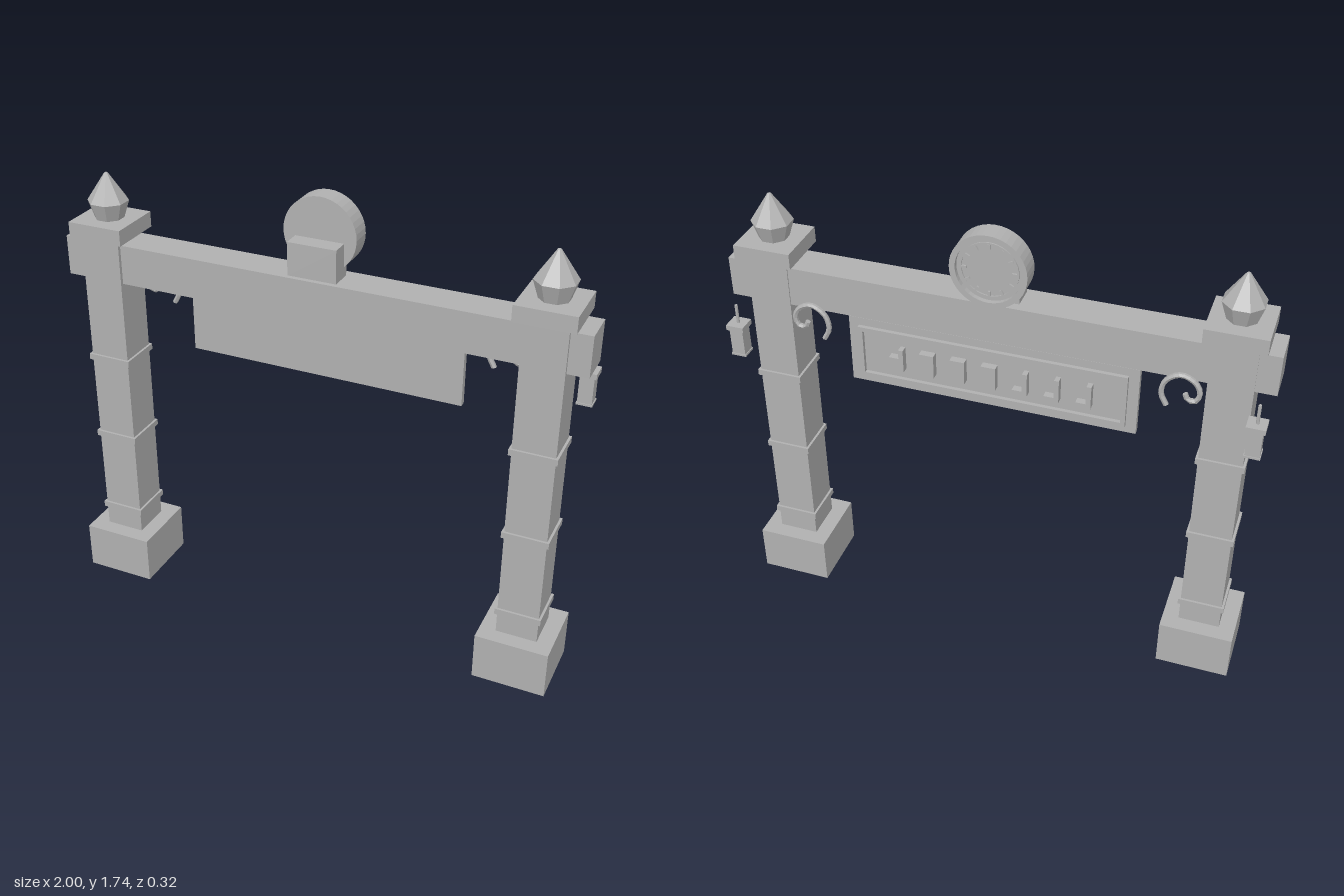
import * as THREE from 'three';

const stone = new THREE.MeshStandardMaterial({ color: 0xb0b0b0, flatShading: true });
stone.name = 'stone grey';

function add(parent, name, geometry, x = 0, y = 0, z = 0) {
  const mesh = new THREE.Mesh(geometry, stone);
  mesh.name = name;
  mesh.position.set(x, y, z);
  parent.add(mesh);
  return mesh;
}

// Box given by its minimum and maximum on each axis
function box(parent, name, x0, x1, y0, y1, z0, z1) {
  return add(parent, name, new THREE.BoxGeometry(x1 - x0, y1 - y0, z1 - z0),
    (x0 + x1) / 2, (y0 + y1) / 2, (z0 + z1) / 2);
}

// Square block centred on the local axis
function block(parent, name, width, y0, y1) {
  return box(parent, name, -width / 2, width / 2, y0, y1, -width / 2, width / 2);
}

// Flat ring facing z, made from an outline and a hole
function frame(outer, hole, depth) {
  outer.holes.push(hole);
  return new THREE.ExtrudeGeometry(outer, { depth, bevelEnabled: false, curveSegments: 20 });
}

function rectangle(path, w, h) {
  path.moveTo(-w / 2, -h / 2);
  path.lineTo(w / 2, -h / 2);
  path.lineTo(w / 2, h / 2);
  path.lineTo(-w / 2, h / 2);
  path.closePath();
  return path;
}

function createPillar() {
  const pillar = new THREE.Group();
  block(pillar, 'base', 0.28, 0, 0.19);
  block(pillar, 'shaft', 0.157, 0.19, 1.475);
  for (const y of [0.285, 0.628, 0.973]) block(pillar, 'band', 0.175, y - 0.012, y + 0.012);
  block(pillar, 'cap', 0.217, 1.472, 1.532);
  // Eight-sided pointed finial
  const profile = [[0, 0], [0.055, 0], [0.077, 0.066], [0.007, 0.17], [0, 0.173]]
    .map(([r, y]) => new THREE.Vector2(r, y));
  add(pillar, 'finial', new THREE.LatheGeometry(profile, 8, Math.PI / 8), 0, 1.532, 0);
  return pillar;
}

function createLantern() {
  const lantern = new THREE.Group();
  block(lantern, 'lanternBody', 0.052, 1.105, 1.21);
  block(lantern, 'lanternFoot', 0.058, 1.098, 1.106);
  block(lantern, 'lanternRoof', 0.068, 1.208, 1.228);
  add(lantern, 'lanternRod', new THREE.CylinderGeometry(0.006, 0.006, 0.075, 8), 0, 1.265, 0);
  return lantern;
}

// Curled bracket, bent from the open end over the top into the curl
function createScroll(side) {
  const points = [[0.637, 1.19], [0.616, 1.235], [0.628, 1.29], [0.678, 1.322], [0.728, 1.302],
    [0.748, 1.262], [0.737, 1.228], [0.71, 1.226], [0.698, 1.25]]
    .map(([x, y]) => new THREE.Vector3(side * x, y, 0));
  const curve = new THREE.CatmullRomCurve3(points);
  const scroll = new THREE.Group();
  add(scroll, 'scrollTube', new THREE.TubeGeometry(curve, 20, 0.01, 6));
  // Closed ends
  for (const t of [0, 1]) {
    const end = add(scroll, 'scrollEnd', new THREE.CircleGeometry(0.01, 6));
    const p = curve.getPointAt(t);
    end.position.copy(p);
    end.lookAt(p.clone().addScaledVector(curve.getTangentAt(t), t ? 1 : -1));
  }
  return scroll;
}

function createSign() {
  const sign = new THREE.Group();
  box(sign, 'board', -0.538, 0.538, 1.03, 1.302, -0.055, -0.03);
  const border = frame(rectangle(new THREE.Shape(), 1.0, 0.212), rectangle(new THREE.Path(), 0.965, 0.177), 0.016);
  add(sign, 'border', border, 0, 1.165, -0.07);
  // Row of plain raised angle marks; the crossbar height differs along the row
  const bars = [0.037, 0.037, 0.037, -0.037, -0.037, -0.037];
  const mark = (x, barY) => {
    box(sign, 'markUpright', x - 0.027, x - 0.009, 1.119, 1.211, -0.083, -0.054);
    box(sign, 'markCrossbar', x - 0.009, x + 0.028, 1.156 + barY, 1.174 + barY, -0.083, -0.054);
  };
  mark(0.35, 0);
  bars.forEach((barY, i) => mark(0.35 - (i + 1) * 0.1167, barY));
  return sign;
}

function createClock() {
  const clock = new THREE.Group();
  const drum = add(clock, 'drum', new THREE.CylinderGeometry(0.139, 0.139, 0.062, 40), 0, 0, -0.031);
  drum.rotation.x = Math.PI / 2;
  // Raised rim and inner ring around the dial
  const ring = (r0, r1, depth) => frame(
    new THREE.Shape().absarc(0, 0, r1, 0, Math.PI * 2),
    new THREE.Path().absarc(0, 0, r0, 0, Math.PI * 2, true), depth);
  add(clock, 'rim', ring(0.118, 0.139, 0.019), 0, 0, -0.08);
  add(clock, 'dialRing', ring(0.099, 0.106, 0.006), 0, 0, -0.067);
  for (let i = 0; i < 12; i++) {
    const a = i * Math.PI / 6;
    const tick = add(clock, 'hourTick', new THREE.BoxGeometry(0.008, 0.018, 0.008),
      Math.sin(a) * 0.09, Math.cos(a) * 0.09, -0.065);
    tick.rotation.z = -a;
  }
  return clock;
}

export function createModel() {
  const gate = new THREE.Group();
  gate.name = 'gateway';
  const place = (group, name, x, y, z) => {
    group.name = name;
    group.position.set(x, y, z);
    gate.add(group);
  };

  box(gate, 'beam', -1, 1, 1.302, 1.455, -0.054, 0.085);

  // Mirrored pillars, lanterns and scrolls
  for (const [side, label] of [[1, 'left'], [-1, 'right']]) {
    place(createPillar(), label + 'Pillar', side * 0.845, 0, 0.02);
    place(createLantern(), label + 'Lantern', side * 0.955, 0, -0.122);
    place(createScroll(side), label + 'Scroll', 0, 0, -0.065);
  }

  place(createSign(), 'sign', 0, 0, 0);
  place(createClock(), 'clock', 0, 1.597, 0);
  box(gate, 'clockStand', -0.093, 0.093, 1.455, 1.58, -0.02, 0.067);
  return gate;
}
